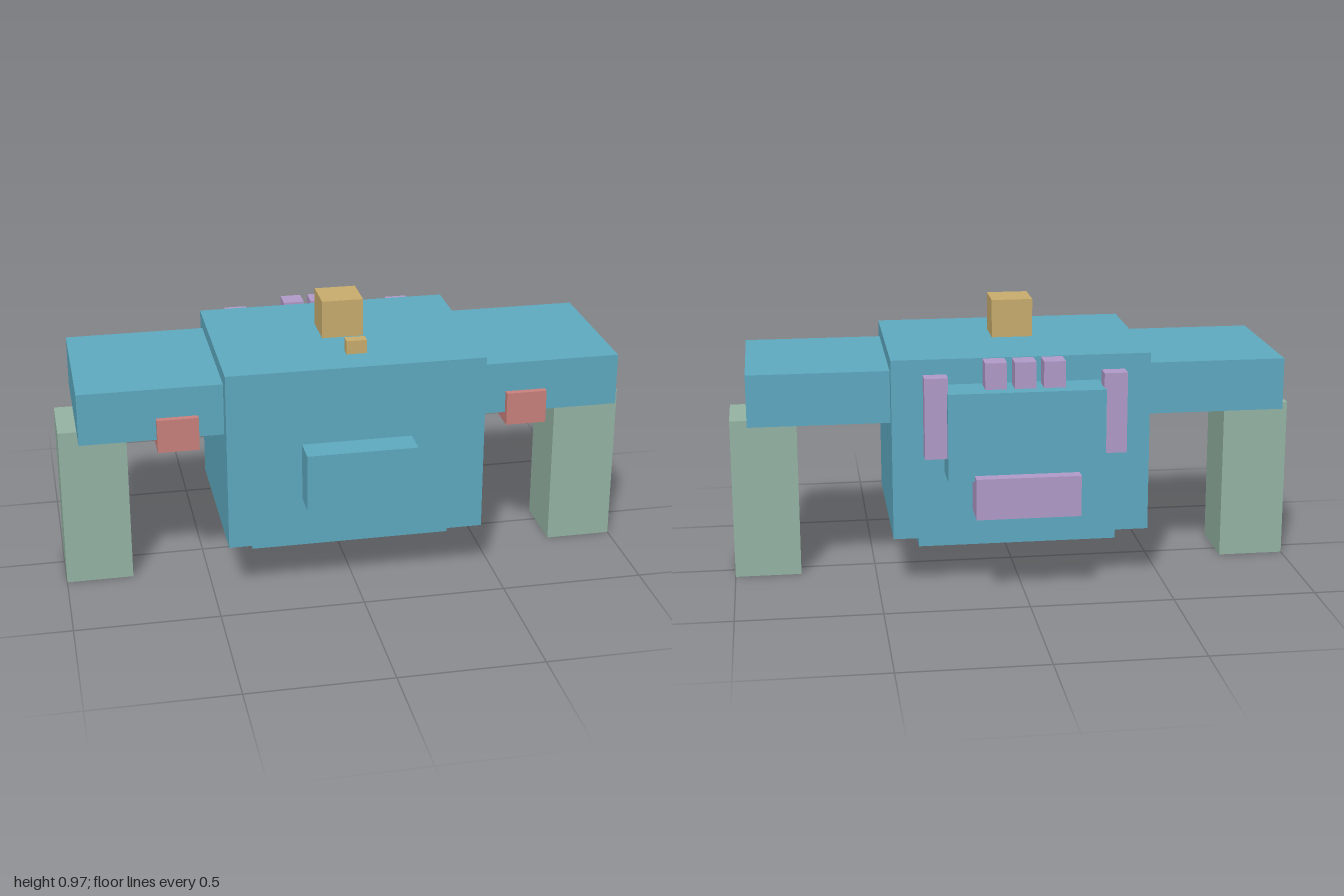
import * as THREE from 'three';

const material = (name, color) => {
  const m = new THREE.MeshStandardMaterial({ color });
  m.name = name;
  return m;
};

export function createModel() {
  const teal = material('teal', 0x5fabc2);
  const green = material('sage green', 0x95b4a4);
  const purple = material('lilac', 0xb19bc9);
  const gold = material('gold', 0xc9ad6e);
  const red = material('coral red', 0xca817d);

  const model = new THREE.Group();
  model.name = 'blockRobot';

  // Box given by its lower and upper limits along x, y and z
  const block = (name, mat, [x0, x1], [y0, y1], [z0, z1]) => {
    const mesh = new THREE.Mesh(new THREE.BoxGeometry(x1 - x0, y1 - y0, z1 - z0), mat);
    mesh.position.set((x0 + x1) / 2, (y0 + y1) / 2, (z0 + z1) / 2);
    mesh.name = name;
    model.add(mesh);
  };
  // The same box on both sides
  const pair = (name, mat, [x0, x1], y, z) => {
    block('left' + name, mat, [x0, x1], y, z);
    block('right' + name, mat, [-x1, -x0], y, z);
  };

  // Torso
  block('torso', teal, [-0.448, 0.448], [0.188, 0.824], [-0.281, 0.366]);
  block('hips', teal, [-0.352, 0.352], [0.121, 0.188], [-0.177, 0.262]);
  block('chestPanel', teal, [-0.191, 0.191], [0.353, 0.556], [0.366, 0.466]);

  // Head and floating nose
  block('head', gold, [-0.072, 0.072], [0.837, 0.971], [-0.029, 0.113]);
  block('nose', gold, [-0.035, 0.035], [0.867, 0.914], [0.315, 0.353]);

  // Shoulders and arms
  pair('Shoulder', teal, [0.448, 0.937], [0.593, 0.776], [-0.229, 0.313]);
  pair('UpperArm', green, [0.775, 0.925], [0.575, 0.593], [-0.034, 0.119]);
  pair('Arm', green, [0.767, 1], [0, 0.575], [-0.073, 0.158]);
  pair('ShoulderLamp', red, [0.535, 0.676], [0.554, 0.671], [0.135, 0.336]);

  // Backpack with its vents and side rods
  block('backpack', teal, [-0.269, 0.269], [0.429, 0.735], [-0.421, -0.281]);
  for (const x of [-0.1, 0, 0.1]) {
    block('topVent', purple, [x - 0.037, x + 0.037], [0.735, 0.826], [-0.372, -0.297]);
  }
  pair('BackRod', purple, [0.265, 0.345], [0.506, 0.786], [-0.399, -0.342]);
  block('lowerVent', purple, [-0.179, 0.179], [0.306, 0.449], [-0.465, -0.347]);

  return model;
}
